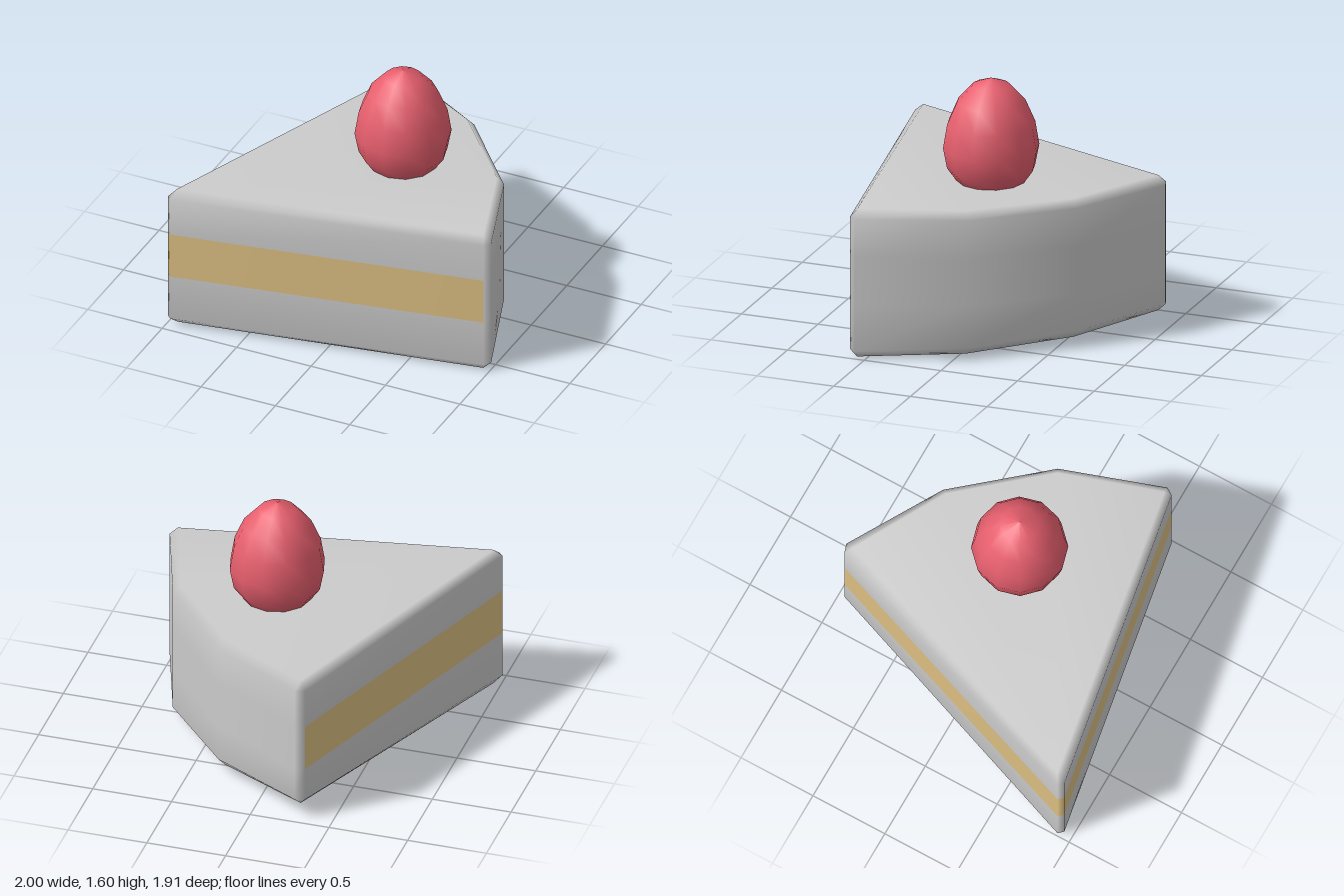
import * as THREE from 'three';

// Slice outline (x, z), counter-clockwise from above: tip, right corner, arc, back corner
const OUTLINE = [[-1, 0.92], [-0.97, 0.95], [0.97, 0.605], [1, 0.56],
  [0.78, -0.08], [0.32, -0.62], [-0.27, -0.96], [-0.33, -0.94]];
// Inset outline for the flat top and bottom; chamfered corners share one point
const CAP = [[-0.95, 0.89], [0.95, 0.565], [0.74, -0.06], [0.29, -0.585], [-0.29, -0.905]];
const CAP_OF = [0, 0, 1, 1, 2, 3, 4, 4];
const LEVELS = [0.05, 0.35, 0.65, 0.9];

// The underside rises gently from the front edge to the back corner
const lift = (x, z) => Math.max(0, 0.048 * (0.72 - 0.18 * x - z));

function buildCake(cream, sponge) {
  const positions = [];
  const n = OUTLINE.length, c = CAP.length;
  LEVELS.forEach((y, k) => OUTLINE.forEach(([x, z]) =>
    positions.push(x, k === 0 ? y + lift(x, z) : y, z)));
  const bottom = LEVELS.length * n, top = bottom + c;
  CAP.forEach(([x, z]) => positions.push(x, lift(x, z), z));
  CAP.forEach(([x, z]) => positions.push(x, 0.95, z));

  const creamFaces = [], spongeFaces = [];
  for (let i = 0; i < n; i++) {
    const j = (i + 1) % n;
    // Walls: the middle level of the two cut sides shows the sponge layer
    for (let k = 0; k < LEVELS.length - 1; k++) {
      const a = k * n + i, b = k * n + j;
      const isCut = i === 0 || i === 1 || i === 7;
      (k === 1 && isCut ? spongeFaces : creamFaces).push(a, b, b + n, a, b + n, a + n);
    }
    // Bevels towards the inset caps
    const u = (LEVELS.length - 1) * n, ci = CAP_OF[i], cj = CAP_OF[j];
    creamFaces.push(u + i, u + j, top + cj, i, bottom + cj, j);
    if (ci !== cj) creamFaces.push(u + i, top + cj, top + ci, i, bottom + ci, bottom + cj);
  }
  for (let i = 1; i < c - 1; i++) {
    creamFaces.push(top, top + i, top + i + 1, bottom, bottom + i + 1, bottom + i);
  }

  // Smooth normals over the whole slice, shared by both colours
  const whole = new THREE.BufferGeometry();
  whole.setAttribute('position', new THREE.Float32BufferAttribute(positions, 3));
  whole.setIndex([...creamFaces, ...spongeFaces]);
  whole.computeVertexNormals();
  const part = (name, faces, material) => {
    const geometry = new THREE.BufferGeometry();
    geometry.setAttribute('position', whole.getAttribute('position').clone());
    geometry.setAttribute('normal', whole.getAttribute('normal').clone());
    geometry.setIndex(faces);
    const mesh = new THREE.Mesh(geometry, material);
    mesh.name = name;
    return mesh;
  };
  const cake = new THREE.Group();
  cake.name = 'cakeSlice';
  cake.add(part('creamBody', creamFaces, cream), part('spongeLayer', spongeFaces, sponge));
  return cake;
}

// Egg-shaped berry, sunk slightly into the cream
function buildBerry(material) {
  const profile = [[0, 0.87], [0.12, 0.89], [0.21, 0.945], [0.27, 1.03], [0.295, 1.16],
    [0.27, 1.31], [0.21, 1.45], [0.115, 1.555], [0, 1.6]];
  const berry = new THREE.Mesh(
    new THREE.LatheGeometry(profile.map(([r, y]) => new THREE.Vector2(r, y)), 12), material);
  berry.name = 'berry';
  berry.position.set(0.145, 0, 0.012);
  return berry;
}

export function createModel() {
  const model = new THREE.Group();
  model.name = 'cakeWithBerry';
  const cream = new THREE.MeshStandardMaterial({ color: 0xcccccc });
  const sponge = new THREE.MeshStandardMaterial({ color: 0xddc083 });
  const red = new THREE.MeshStandardMaterial({ color: 0xe75f6e });
  model.add(buildCake(cream, sponge), buildBerry(red));
  return model;
}
